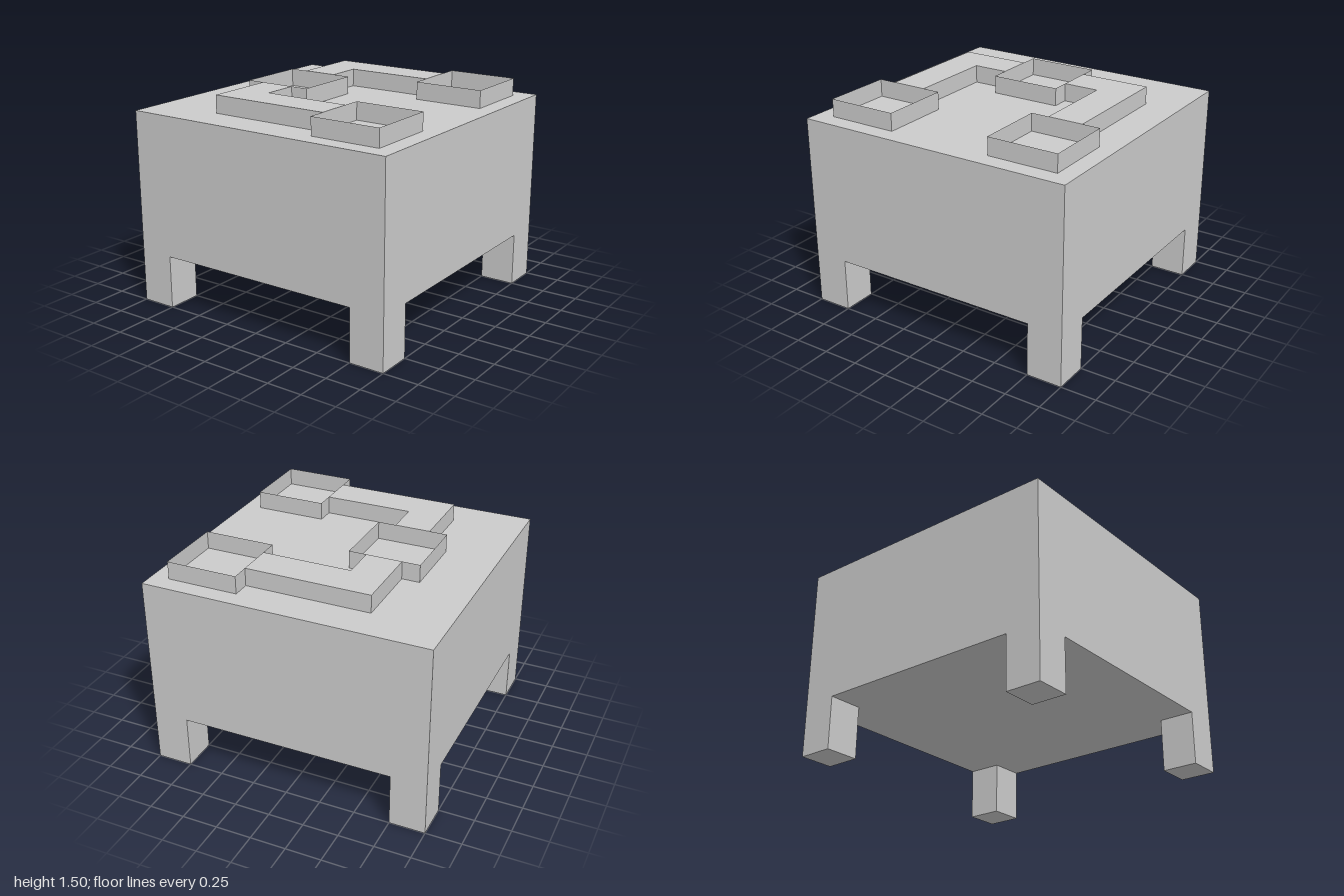
import * as THREE from 'three';

const TOP = 1.375, LEG = 0.25, LEG_HEIGHT = 0.375, RELIEF = 0.125;

export function createModel() {
  const model = new THREE.Group();
  const solid = new THREE.MeshStandardMaterial({ color: 0xcccccc, flatShading: true });
  const thin = new THREE.MeshStandardMaterial({ color: 0xcccccc, flatShading: true, side: THREE.DoubleSide });

  const add = (name, geometry, material, x, y, z) => {
    const mesh = new THREE.Mesh(geometry, material);
    mesh.name = name;
    mesh.position.set(x, y, z);
    model.add(mesh);
  };

  // Block body
  add('body', new THREE.BoxGeometry(2, TOP - LEG_HEIGHT, 2), solid, 0, (TOP + LEG_HEIGHT) / 2, 0);

  // Four corner legs, flush with the body sides
  const legGeometry = new THREE.BoxGeometry(LEG, LEG_HEIGHT, LEG);
  for (const sx of [-1, 1]) {
    for (const sz of [-1, 1]) {
      add('leg', legGeometry, solid, sx * (1 - LEG / 2), LEG_HEIGHT / 2, sz * (1 - LEG / 2));
    }
  }

  // Thin-walled open square frames on the top
  const frameGeometry = new THREE.CylinderGeometry(
    0.25 * Math.SQRT2, 0.25 * Math.SQRT2, RELIEF, 4, 1, true, Math.PI / 4);
  for (const [x, z] of [[-0.375, 0], [0.625, 0.625], [0.625, -0.625]]) {
    add('squareFrame', frameGeometry, thin, x, TOP + RELIEF / 2, z);
  }

  // Mirrored L-shaped bars joining the frames
  const outline = [[-0.5, 0.25], [-0.25, 0.25], [-0.25, 0.5], [0.375, 0.5], [0.375, 0.75], [-0.5, 0.75]];
  for (const side of [-1, 1]) {
    const shape = new THREE.Shape(outline.map(([x, z]) => new THREE.Vector2(x, -side * z)));
    const bar = new THREE.ExtrudeGeometry(shape, { depth: RELIEF, bevelEnabled: false });
    bar.rotateX(-Math.PI / 2);
    add('connectingBar', bar, solid, 0, TOP, 0);
  }

  return model;
}
